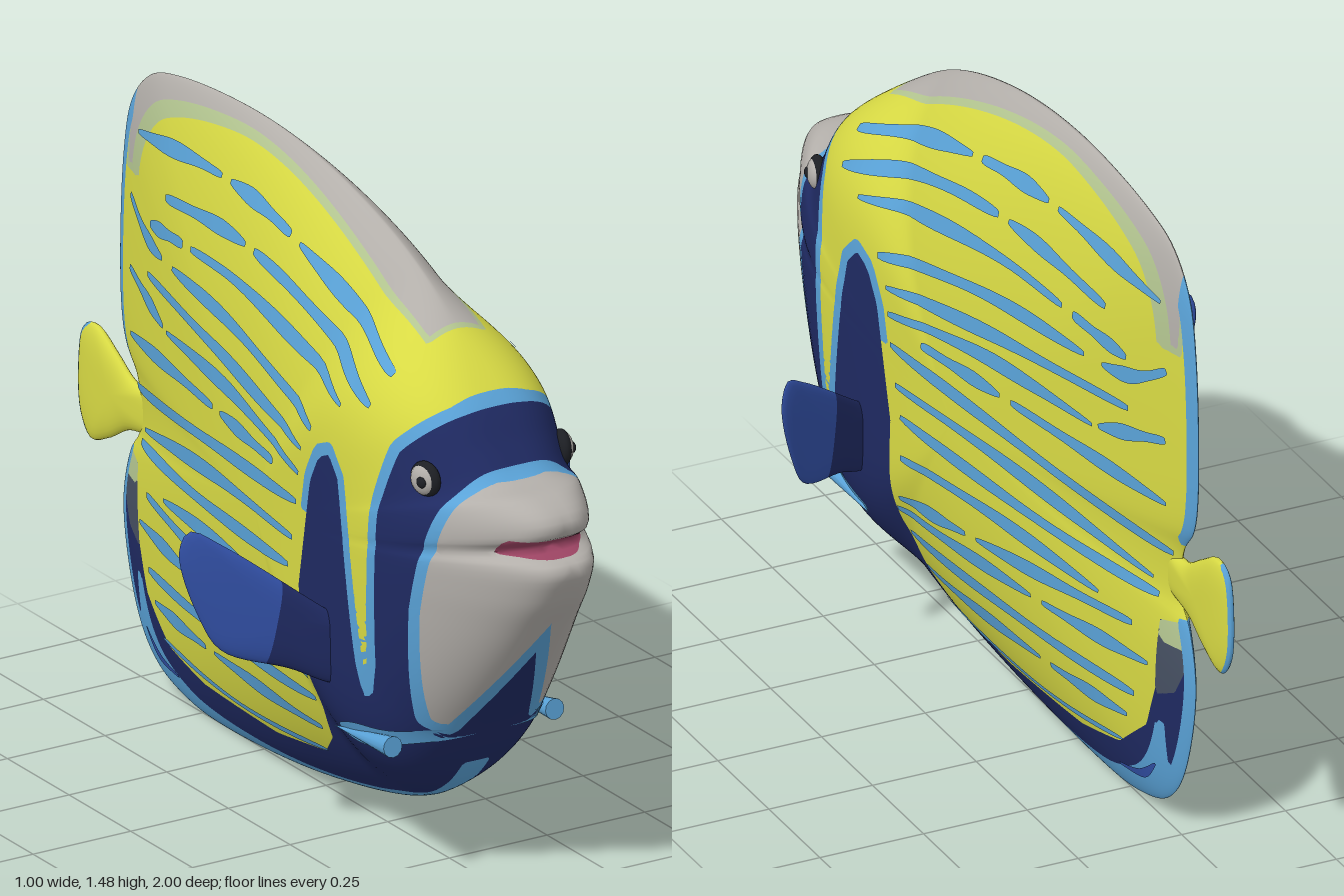
import * as THREE from 'three';
import { mergeVertices } from 'three/addons/utils/BufferGeometryUtils.js';

const mat = (name, color) => Object.assign(new THREE.MeshStandardMaterial({ color }), { name });
const yellow = mat('yellow', 0xd8da44), lightBlue = mat('light blue', 0x5aa3d8), navy = mat('navy', 0x1f2a62);
const finBlue = mat('fin blue', 0x3250a6), grey = mat('pale grey', 0xb3afaa), pink = mat('mouth pink', 0x9c4463);
const paleGreen = mat('pale green', 0xb3c590), slate = mat('slate', 0x465062), black = mat('eye black', 0x1d1f24);

const smooth = THREE.MathUtils.smoothstep;

// Signed distance to a (z, y) polygon, positive inside
function inside(poly, z, y) {
  let d = Infinity, odd = false;
  for (let i = 0, j = poly.length - 1; i < poly.length; j = i++) {
    const [az, ay] = poly[i], [bz, by] = poly[j], ez = bz - az, ey = by - ay;
    const t = Math.min(1, Math.max(0, ((z - az) * ez + (y - ay) * ey) / (ez * ez + ey * ey)));
    d = Math.min(d, Math.hypot(z - az - t * ez, y - ay - t * ey));
    if ((ay > y) !== (by > y) && z < az + (y - ay) / ey * ez) odd = !odd;
  }
  return odd ? d : -d;
}

// Cut a triangle along field = 0 into inner and outer triangles
function split(tri, field) {
  const f = tri.map(field), sides = [[], []];
  tri.forEach((a, i) => {
    const k = (i + 1) % 3, b = tri[k];
    sides[f[i] > 0 ? 0 : 1].push(a);
    if ((f[i] > 0) !== (f[k] > 0)) {
      const t = f[i] / (f[i] - f[k]), m = a.map((v, n) => v + (b[n] - v) * t);
      sides[0].push(m);
      sides[1].push(m);
    }
  });
  return sides.map(p => p.slice(2).map((v, i) => [p[0], p[i + 1], v]));
}

// Smooth closed outline through a few (z, y) points
function outlineOf(points, n) {
  const curve = new THREE.CatmullRomCurve3(points.map(([z, y]) => new THREE.Vector3(0, y, z)), true);
  curve.arcLengthDivisions = 1000;
  return curve.getSpacedPoints(n).slice(0, n).map(p => [p.z, p.y]);
}

// Closed lens-like solid inside an outline; layers = [material, field(x, y, z, s)], the first match wins
function lens(name, outline, [cz, cy], half, rings, layers, base) {
  const n = outline.length, buckets = new Map([...layers.map(l => l[0]), base].map(m => [m, []]));
  const point = (i, j, side) => {
    const s = Math.sin(Math.PI / 2 * i / rings), [oz, oy] = outline[j % n];
    const z = cz + (oz - cz) * s, y = cy + (oy - cy) * s;
    return [i === rings ? 0 : side * half(z, y, s), y, z, s];
  };
  const paint = (tri, k) => {
    if (k === layers.length) { buckets.get(base).push(tri); return; }
    const [inn, out] = split(tri, v => layers[k][1](...v));
    buckets.get(layers[k][0]).push(...inn);
    out.forEach(t => paint(t, k + 1));
  };
  for (const side of [1, -1]) for (let i = 0; i < rings; i++) for (let j = 0; j < n; j++) {
    const a = point(i, j, side), b = point(i, j + 1, side), c = point(i + 1, j + 1, side), d = point(i + 1, j, side);
    for (const t of i ? [[a, b, c], [a, c, d]] : [[a, c, d]]) paint(side > 0 ? t : t.reverse(), 0);
  }
  const geo = new THREE.BufferGeometry(), pos = [], mats = [];
  buckets.forEach((tris, m) => {
    if (!tris.length) return;
    geo.addGroup(pos.length / 3, tris.length * 3, mats.length);
    mats.push(m);
    tris.forEach(t => t.forEach(v => pos.push(v[0], v[1], v[2])));
  });
  geo.setAttribute('position', new THREE.Float32BufferAttribute(pos, 3));
  const merged = mergeVertices(geo, 1e-5);
  merged.computeVertexNormals();
  const mesh = new THREE.Mesh(merged, mats);
  mesh.name = name;
  return mesh;
}

// Body outline (z, y): snout, back, rear edge, belly, chin
const CY = 0.7;
const bodyOutline = outlineOf([[0.91, 0.87], [0.965, 0.915], [0.96, 0.945], [0.9, 0.98], [0.8, 0.99], [0.75, 1.04], [0.67, 1.14],
  [0.4, 1.33], [0.1, 1.435], [-0.25, 1.48], [-0.6, 1.455], [-0.71, 1.42],
  [-0.785, 1.34], [-0.82, 1.2], [-0.83, 0.86], [-0.81, 0.77], [-0.76, 0.7], [-0.75, 0.58], [-0.79, 0.52],
  [-0.82, 0.38], [-0.76, 0.15], [-0.68, 0.06], [-0.55, 0.015], [-0.4, 0.003], [0, 0.03],
  [0.4, 0.115], [0.55, 0.2], [0.72, 0.42], [0.9, 0.67], [0.97, 0.77], [0.995, 0.845]], 280);

// Half thickness: wedge along z, blunt at the face, keeled above and below
const widths = new THREE.SplineCurve([0.05, 0.1, 0.155, 0.215, 0.235, 0.13].map(w => new THREE.Vector2(0, w)));
function bodyHalf(z, y, s) {
  const front = smooth(z / (Math.hypot(z, y - CY) + 1e-6), 0.5, 0.9);
  const p = 2.5 + 3.5 * front, q = 0.7 - 0.35 * front;
  return widths.getPoint((z + 1) / 2).y * Math.max(0, 1 - s ** p) ** q;
}
// Same thickness from a (z, y) place alone
function skin(z, y) {
  const dy = y - CY;
  for (let i = 0; i < bodyOutline.length; i++) {
    const a = bodyOutline[i], b = bodyOutline[(i + 1) % bodyOutline.length];
    const az = a[0], ay = a[1] - CY, bz = b[0], by = b[1] - CY;
    const ca = z * ay - dy * az, cb = z * by - dy * bz;
    if (ca * cb > 0 || az * z + ay * dy <= 0) continue;
    const t = ca / (ca - cb || 1);
    return bodyHalf(z, y, Math.min(1, Math.hypot(z, dy) / Math.hypot(az + (bz - az) * t, ay + (by - ay) * t)));
  }
  return bodyHalf(z, y, 0);
}

// Colour regions (z, y)
const face = [[1.2, 0.99], [0.79, 0.99], [0.765, 0.92], [0.73, 0.82], [0.695, 0.68], [0.66, 0.41], [0.7, 0.375], [0.9, 0.3], [1.2, 0.3]];
const dark = [[0.69, 1.25], [0.69, 1.12], [0.61, 1.03], [0.575, 0.9], [0.555, 0.52], [0.535, 0.44], [0.505, 0.43],
  [0.485, 0.5], [0.435, 0.82], [0.415, 0.91], [0.375, 0.95], [0.33, 0.93], [0.29, 0.86], [0.235, 0.6],
  [0.25, 0.34], [0.23, 0.22], [0.16, 0.16], [-0.07, 0.12], [-0.39, 0.12], [-0.55, 0.15], [-0.66, 0.24],
  [-0.74, 0.47], [-0.9, 0.5], [-0.9, -0.1], [1.1, -0.1], [1.1, 1.25]];
const finTip = [[-0.695, 0.33], [-0.71, 0.52], [-0.81, 0.54], [-0.81, 0.46], [-0.76, 0.36]];
const bib = (x, y) => Math.abs(x) - Math.max(0, 0.69 - y) * 0.4;
const crest = (x, y, z) => Math.min(0.025 + 0.04 * smooth(z, -0.3, 0.5) - Math.abs(x), 0.52 - z, z + 0.77, y - 1.2);

const bodyLayers = [
  [pink, (x, y, z) => Math.min(0.11 - Math.abs(x), 0.9 - y, y - 0.858, z - 0.8)],
  [grey, (x, y, z) => Math.min(inside(face, z, y), y > 0.7 ? 1 : bib(x, y) + 0.001)],
  [lightBlue, (x, y, z) => Math.min(inside(face, z, y) + 0.028, bib(x, y) + 0.035)],
  [lightBlue, (x, y, z, s) => Math.max(Math.min(0.035 - Math.abs(x), 0.27 - y, z + 0.72),
    Math.min(s - 0.962, Math.max(-0.76 - z, 0.3 - y), -0.55 - z, Math.abs(y - 0.63) - 0.09))],
  [grey, crest],
  [paleGreen, (x, y, z) => crest(x, y, z) + 0.012],
  [paleGreen, (x, y, z) => Math.min(inside(finTip, z, y), y - 0.47)],
  [slate, (x, y, z) => inside(finTip, z, y)],
  [navy, (x, y, z) => inside(dark, z, y)],
  [lightBlue, (x, y, z) => Math.min(inside(dark, z, y) + 0.028, Math.max(z - 0.3, y - 0.78))],
];

// Stripe rows: front z, y, rear z, y, upward bow, then places where the row breaks
const rows = [[0.52, 1.17, -0.71, 1.295, 0.1, 0.04, -0.28], [0.5, 1.1, -0.53, 1.21, 0.08, -0.12], [0.4, 1.07, -0.61, 1.12, 0.06, -0.4],
  [-0.53, 1.07, -0.74, 1.14, -0.02], [0.29, 0.98, -0.47, 1.07, 0.03], [0.25, 0.92, -0.62, 1, 0.02], [-0.52, 0.915, -0.74, 0.97, 0],
  [0.24, 0.86, -0.5, 0.91, 0.03], [0.11, 0.84, -0.74, 0.815, 0.015, -0.2], [0.23, 0.79, -0.74, 0.69, 0.015],
  [0.21, 0.7, -0.68, 0.61, 0.03], [0.19, 0.63, -0.7, 0.575, 0], [0.19, 0.53, -0.52, 0.51, 0.02], [0.22, 0.415, -0.63, 0.48, 0.01, -0.06],
  [0.24, 0.38, -0.68, 0.4, 0.005, -0.3], [0.23, 0.32, -0.63, 0.305, 0], [0.21, 0.24, -0.6, 0.24, 0, -0.3]];
const stripePaths = rows.flatMap(([z0, y0, z1, y1, bow, ...breaks]) => {
  const ends = [z0, ...breaks.flatMap(b => [b + 0.02, b - 0.02]), z1];
  return ends.filter((e, i) => i % 2 === 0).map((start, i) => [0, 1, 2, 3, 4].map(k => {
    const z = start + (ends[2 * i + 1] - start) * k / 4, t = (z - z0) / (z1 - z0);
    return [z, y0 + (y1 - y0) * t + bow * Math.sin(Math.PI * t)];
  }));
});

// Tapered ribbon lying on the body skin
function ribbon(name, material, width, path, side) {
  const n = 28, curve = new THREE.SplineCurve(path.map(p => new THREE.Vector2(...p))), pos = [], index = [];
  for (let k = 0; k <= n; k++) {
    const t = k / n, c = curve.getPoint(t), d = curve.getTangent(t);
    const w = width / 2 * Math.sin(Math.PI * (0.02 + 0.96 * t)) ** 0.4 * (1 + 0.22 * Math.sin(8 * t + 40 * path[0][1]));
    for (const e of [-w, w]) {
      const z = c.x + d.y * e, y = c.y - d.x * e;
      pos.push(side * (skin(z, y) + 0.004), y, z);
    }
    const a = 2 * k;
    if (k < n) index.push(...(side > 0 ? [a, a + 2, a + 3, a, a + 3, a + 1] : [a, a + 3, a + 2, a, a + 1, a + 3]));
  }
  const geo = new THREE.BufferGeometry();
  geo.setAttribute('position', new THREE.Float32BufferAttribute(pos, 3));
  geo.setIndex(index);
  geo.computeVertexNormals();
  const mesh = new THREE.Mesh(geo, material);
  mesh.name = name;
  return mesh;
}

export function createModel() {
  const fish = new THREE.Group();
  fish.name = 'reefFish';
  fish.add(lens('body', bodyOutline, [0, CY], bodyHalf, 40, bodyLayers, yellow));

  // Tail fan with a pale rear edge
  const finHalf = (z, y, s) => 0.02 * Math.sqrt(1 - s ** 3);
  const tail = outlineOf([[-0.66, 0.67], [-0.78, 0.685], [-0.85, 0.725], [-0.93, 0.765], [-0.98, 0.745], [-1, 0.65], [-0.99, 0.54],
    [-0.95, 0.492], [-0.88, 0.515], [-0.8, 0.56], [-0.66, 0.6]], 60);
  fish.add(lens('tailFin', tail, [-0.85, 0.63], finHalf, 8,
    [[lightBlue, (x, y, z, s) => Math.min(s - 0.94, -0.95 - z)]], yellow));

  const pectoral = outlineOf([[0.5, 0.72], [0.48, 0.768], [0.42, 0.735], [0.22, 0.58], [0.12, 0.51], [0.2, 0.415],
    [0.3, 0.45], [0.42, 0.488], [0.465, 0.57]], 60);
  for (const side of [1, -1]) {
    // Pectoral fin, turned outwards and swept back
    const fin = lens('pectoralFin', pectoral, [0.32, 0.57], finHalf, 8,
      [[finBlue, (x, y, z) => z - 0.33 + 0.15 * (y - 0.55)]], navy);
    const p = fin.geometry.attributes.position;
    for (let i = 0; i < p.count; i++) {
      const x = p.getX(i), u = p.getZ(i);
      p.setXYZ(i, side * u, p.getY(i), 0.385 - 0.63 * (u - 0.2) - side * x);
    }
    fin.geometry.computeVertexNormals();
    fish.add(fin);

    // Painted lines
    stripePaths.forEach(path => fish.add(ribbon('stripe', lightBlue, 0.033, path, side)));
    fish.add(ribbon('bellyStripe', lightBlue, 0.016, [[0.18, 0.17], [-0.2, 0.14], [-0.57, 0.165]], side));
    fish.add(ribbon('bellyFinStreak', finBlue, 0.018, [[-0.53, 0.085], [-0.62, 0.1], [-0.68, 0.15]], side));
    fish.add(ribbon('cheekTrim', lightBlue, 0.045, [[0.68, 0.375], [0.52, 0.335], [0.38, 0.315]], side));

    // Cheek spine
    const spine = new THREE.Mesh(new THREE.ConeGeometry(0.024, 0.24, 12), lightBlue);
    spine.name = 'cheekSpine';
    spine.position.set(side * (skin(0.47, 0.325) + 0.004), 0.325, 0.48);
    spine.rotation.x = -Math.PI / 2 - 0.12;
    fish.add(spine);

    // Eye: dark socket, pale ball, dark pupil
    const ex = skin(0.68, 0.985);
    for (const [name, m, r, depth, dx, dz] of [['eyeSocket', black, 0.041, 0.02, 0, 0],
      ['eyeball', grey, 0.035, 0.02, 0.005, 0], ['pupil', black, 0.013, 0.008, 0.019, 0.012]]) {
      const ball = new THREE.Mesh(new THREE.SphereGeometry(r, 20, 14), m);
      ball.name = name;
      ball.scale.x = depth / r;
      ball.position.set(side * (ex + dx), 0.985, 0.68 + dz);
      ball.rotation.y = -side * 0.25;
      fish.add(ball);
    }
  }
  return fish;
}
